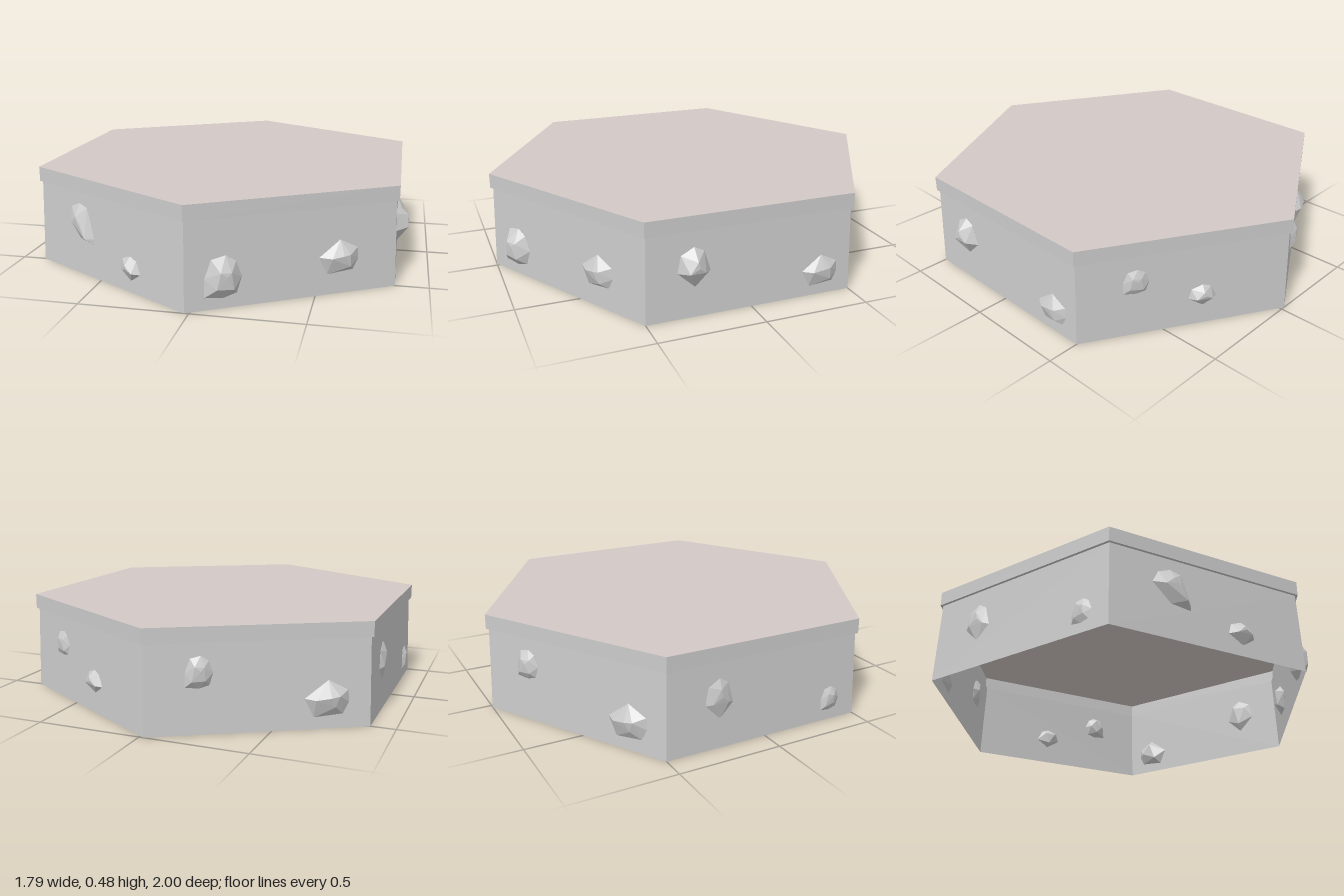
import * as THREE from 'three';
import { ConvexGeometry } from 'three/addons/geometries/ConvexGeometry.js';

const CENTER_X = -0.02;
const LEDGE_Y = 0.405;
const TOP_Y = 0.476;
const WALL_TOP = 0.986; // wall leans in slightly under the cap

// rock outlines as seen from outside a wall, within -1..1
const OUTLINES = {
  gem: [[-1, 0.15], [-0.7, 0.75], [-0.05, 1], [0.5, 0.85], [0.65, 0.2], [1, -0.65], [1, -0.95], [-0.1, -0.8]],
  round: [[-1, -0.9], [-0.95, 0], [-0.6, 0.85], [0.15, 1], [0.7, 0.7], [1, -0.05], [0.75, -0.8], [0, -1]],
  wedge: [[-1, 0.05], [0.05, 1], [0.95, 0.45], [1, -0.2], [0.75, -0.85], [-0.6, -1]],
  nut: [[-1, -0.2], [-0.8, 0.65], [0, 1], [0.6, 0.75], [1, -0.25], [0.05, -1]],
};

// wall angle, then: outline, along wall, height, half width, half height, outward, inward
const ROCKS = [
  [330, 'gem', -0.193, 0.252, 0.095, 0.096, 0.035, 0.004],
  [330, 'nut', 0.157, 0.112, 0.067, 0.058, 0.035, 0.004],
  [30, 'round', -0.327, 0.141, 0.086, 0.097, 0.05, 0.04],
  [30, 'wedge', 0.213, 0.173, 0.095, 0.079, 0.04, 0.04],
  [90, 'nut', -0.275, 0.235, 0.077, 0.095, 0.055, 0.03],
  [90, 'wedge', 0.343, 0.12, 0.09, 0.075, 0.033, 0.04],
  [150, 'round', -0.227, 0.272, 0.062, 0.062, 0.02, 0.04],
  [150, 'nut', 0.084, 0.15, 0.066, 0.055, 0.033, 0.03],
  [210, 'round', -0.26, 0.275, 0.062, 0.073, 0.028, 0.03],
  [210, 'wedge', 0.3, 0.135, 0.1, 0.085, 0.042, 0.03],
  [270, 'nut', -0.24, 0.23, 0.07, 0.098, 0.02, 0.05],
  [270, 'round', 0.36, 0.105, 0.052, 0.06, 0.018, 0.04],
];

function seeded(seed) {
  let s = seed;
  return () => (s = (s * 16807) % 2147483647) / 2147483647;
}

// faceted rock: outline at the wall, smaller uneven rings in front and behind
function rockGeometry(outline, w, h, out, inward, seed) {
  const rnd = seeded(seed * 7919 + 13);
  const points = [];
  outline.forEach(([x, y], i) => {
    points.push(new THREE.Vector3(x * w, y * h, 0));
    if (i % 2 === 0) {
      const f = 0.4 + 0.25 * rnd();
      points.push(new THREE.Vector3(x * w * f, y * h * f, out * (0.7 + 0.3 * rnd())));
    } else {
      points.push(new THREE.Vector3(x * w * 0.6, y * h * 0.6, -inward * (0.75 + 0.25 * rnd())));
    }
  });
  points.push(new THREE.Vector3(0.1 * w, 0.15 * h, out));
  return new ConvexGeometry(points);
}

export function createModel() {
  const group = new THREE.Group();
  group.name = 'hexagonPlatform';
  const grey = new THREE.MeshStandardMaterial({ color: 0xcccccc, flatShading: true });
  const shell = new THREE.MeshStandardMaterial({ color: 0xcccccc, flatShading: true, side: THREE.DoubleSide });
  const topMaterial = new THREE.MeshStandardMaterial({ color: 0xd3c9c7, flatShading: true, side: THREE.DoubleSide });

  const add = (name, geometry, material, y) => {
    const mesh = new THREE.Mesh(geometry, material);
    mesh.name = name;
    mesh.position.set(CENTER_X, y, 0);
    group.add(mesh);
    return mesh;
  };

  // thin walls, open underneath
  add('walls', new THREE.CylinderGeometry(WALL_TOP, 1, LEDGE_Y, 6, 1, true), shell, LEDGE_Y / 2);

  // overhanging cap: rim band, narrow underside and top surface
  const rimHeight = TOP_Y - LEDGE_Y;
  add('capRim', new THREE.CylinderGeometry(1, 1, rimHeight, 6, 1, true), shell, LEDGE_Y + rimHeight / 2);
  add('capUnderside', new THREE.RingGeometry(WALL_TOP, 1, 6, 1, Math.PI / 2).rotateX(Math.PI / 2), shell, LEDGE_Y);
  add('topSurface', new THREE.CircleGeometry(1, 6, Math.PI / 2).rotateX(-Math.PI / 2), topMaterial, TOP_Y);

  // rocks set into each wall, two per side
  ROCKS.forEach(([angle, shape, along, y, w, h, out, inward], i) => {
    const a = THREE.MathUtils.degToRad(angle);
    const r = Math.cos(Math.PI / 6) * (1 - (1 - WALL_TOP) * (y / LEDGE_Y));
    const rock = add('rock' + (i + 1), rockGeometry(OUTLINES[shape], w, h, out, inward, i + 1), grey, y);
    rock.position.x += Math.sin(a) * r + Math.cos(a) * along;
    rock.position.z = Math.cos(a) * r - Math.sin(a) * along;
    rock.rotation.y = a;
  });

  return group;
}
